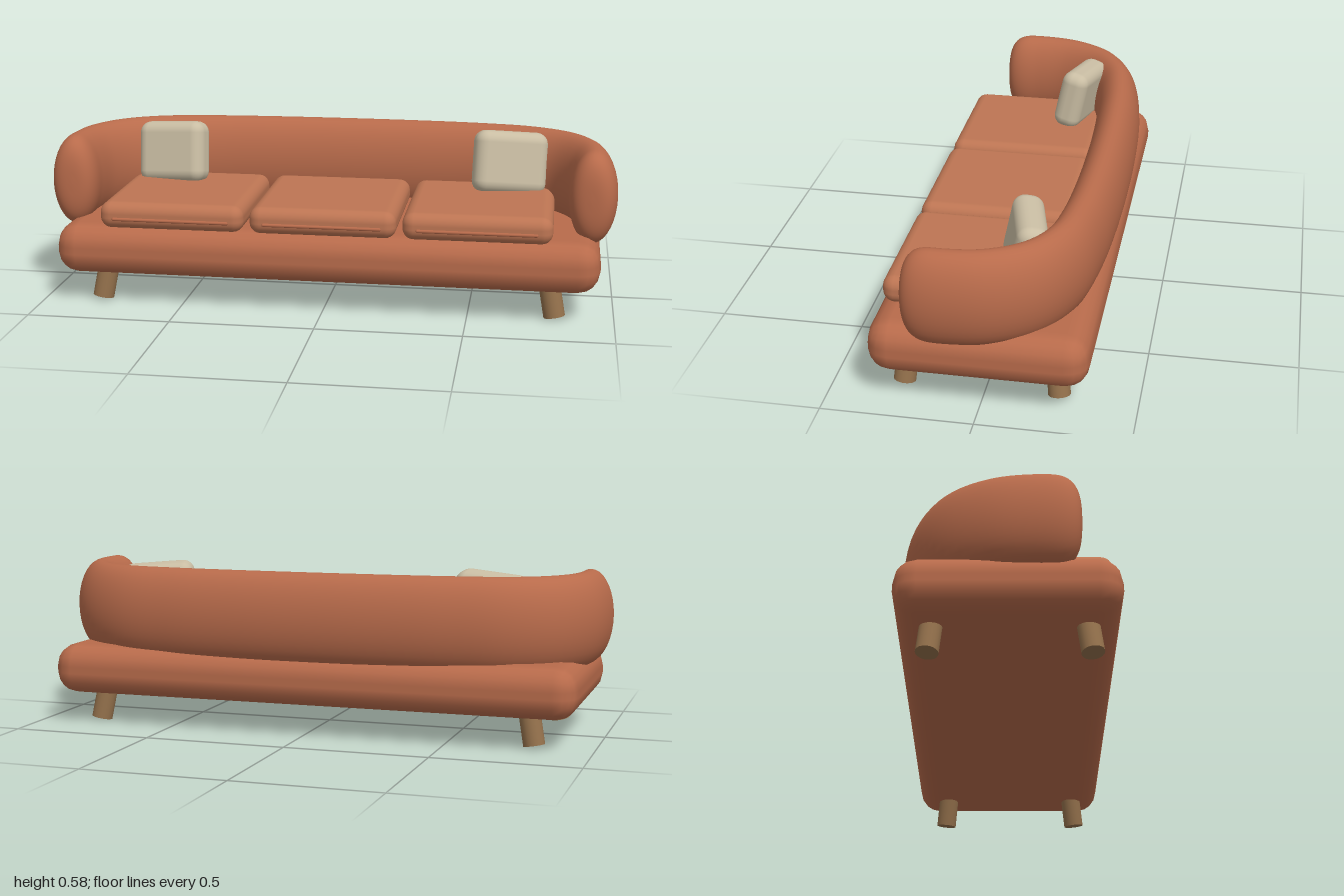
import * as THREE from 'three';
import { RoundedBoxGeometry } from 'three/addons/geometries/RoundedBoxGeometry.js';

const material = (color) => new THREE.MeshStandardMaterial({ color });

// Elliptical roll swept along a level path, with softly rounded ends
function sweptRoll(curve, halfWidth, halfHeight, cap, steps = 110, sides = 36) {
  const positions = [], index = [];
  const length = curve.getLength();
  const up = new THREE.Vector3(0, 1, 0);
  for (let i = 0; i <= steps; i++) {
    const u = 0.5 - 0.5 * Math.cos((Math.PI * i) / steps);
    const centre = curve.getPointAt(u);
    const normal = up.clone().cross(curve.getTangentAt(u)).normalize();
    const t = Math.min(1, (Math.min(u, 1 - u) * length) / cap);
    const s = Math.max(0.001, Math.cbrt(1 - (1 - t) ** 3));
    for (let j = 0; j < sides; j++) {
      const a = (j / sides) * Math.PI * 2;
      const p = centre.clone().addScaledVector(normal, Math.cos(a) * halfWidth * s);
      positions.push(p.x, p.y + Math.sin(a) * halfHeight * s, p.z);
      if (i < steps) {
        const k = (j + 1) % sides, r = i * sides, n = r + sides;
        index.push(r + j, r + k, n + j, r + k, n + k, n + j);
      }
    }
  }
  const geometry = new THREE.BufferGeometry();
  geometry.setAttribute('position', new THREE.Float32BufferAttribute(positions, 3));
  geometry.setIndex(index);
  geometry.computeVertexNormals();
  return geometry;
}

export function createModel() {
  const sofa = new THREE.Group();
  sofa.name = 'sofa';
  const leather = material(0xb86b4b);
  const seatLeather = material(0xbd7553);
  const linen = material(0xc9bda3);
  const wood = material(0x94714c);

  const add = (name, geometry, mat, x, y, z) => {
    const mesh = new THREE.Mesh(geometry, mat);
    mesh.name = name;
    mesh.position.set(x, y, z);
    sofa.add(mesh);
    return mesh;
  };

  // Low upholstered platform
  add('base', new RoundedBoxGeometry(1.895, 0.18, 0.715, 2, 0.078), leather, 0, 0.19, 0.008);

  // Backrest and arms in one curved roll
  const half = [[0.908, 0.238], [0.917, 0.1], [0.895, -0.03], [0.82, -0.15], [0.69, -0.227], [0.5, -0.262], [0.25, -0.278]];
  const path = [
    ...half,
    [0, -0.282],
    ...half.map(([x, z]) => [-x, z]).reverse(),
  ].map(([x, z]) => new THREE.Vector3(x, 0, z));
  add('backAndArms', sweptRoll(new THREE.CatmullRomCurve3(path), 0.083, 0.163, 0.11), leather, 0, 0.402, 0);

  // Three seat cushions with a front welt
  for (const x of [-0.53, 0, 0.53]) {
    add('seatCushion', new RoundedBoxGeometry(0.51, 0.095, 0.54, 3, 0.04), seatLeather, x, 0.317, 0.073);
    const welt = add('cushionWelt', new THREE.CapsuleGeometry(0.006, 0.4, 3, 8), leather, x, 0.308, 0.343);
    welt.rotation.z = Math.PI / 2;
  }

  for (const side of [-1, 1]) {
    // Leaning throw pillows
    const pillow = add('throwPillow', new RoundedBoxGeometry(0.265, 0.225, 0.105, 3, 0.042), linen, side * 0.62, 0.456, -0.1);
    pillow.rotation.set(-0.2, side * 0.26, side * -0.08, 'YXZ');

    // Splayed round legs
    for (const [topZ, footZ] of [[0.256, 0.27], [-0.23, -0.242]]) {
      const top = new THREE.Vector3(side * 0.775, 0.13, topZ);
      const foot = new THREE.Vector3(side * 0.798, 0.005, footZ);
      const axis = top.clone().sub(foot);
      const mid = top.add(foot).multiplyScalar(0.5);
      const leg = add('leg', new THREE.CylinderGeometry(0.037, 0.037, axis.length(), 20), wood, mid.x, mid.y, mid.z);
      leg.quaternion.setFromUnitVectors(new THREE.Vector3(0, 1, 0), axis.normalize());
    }
  }
  return sofa;
}
